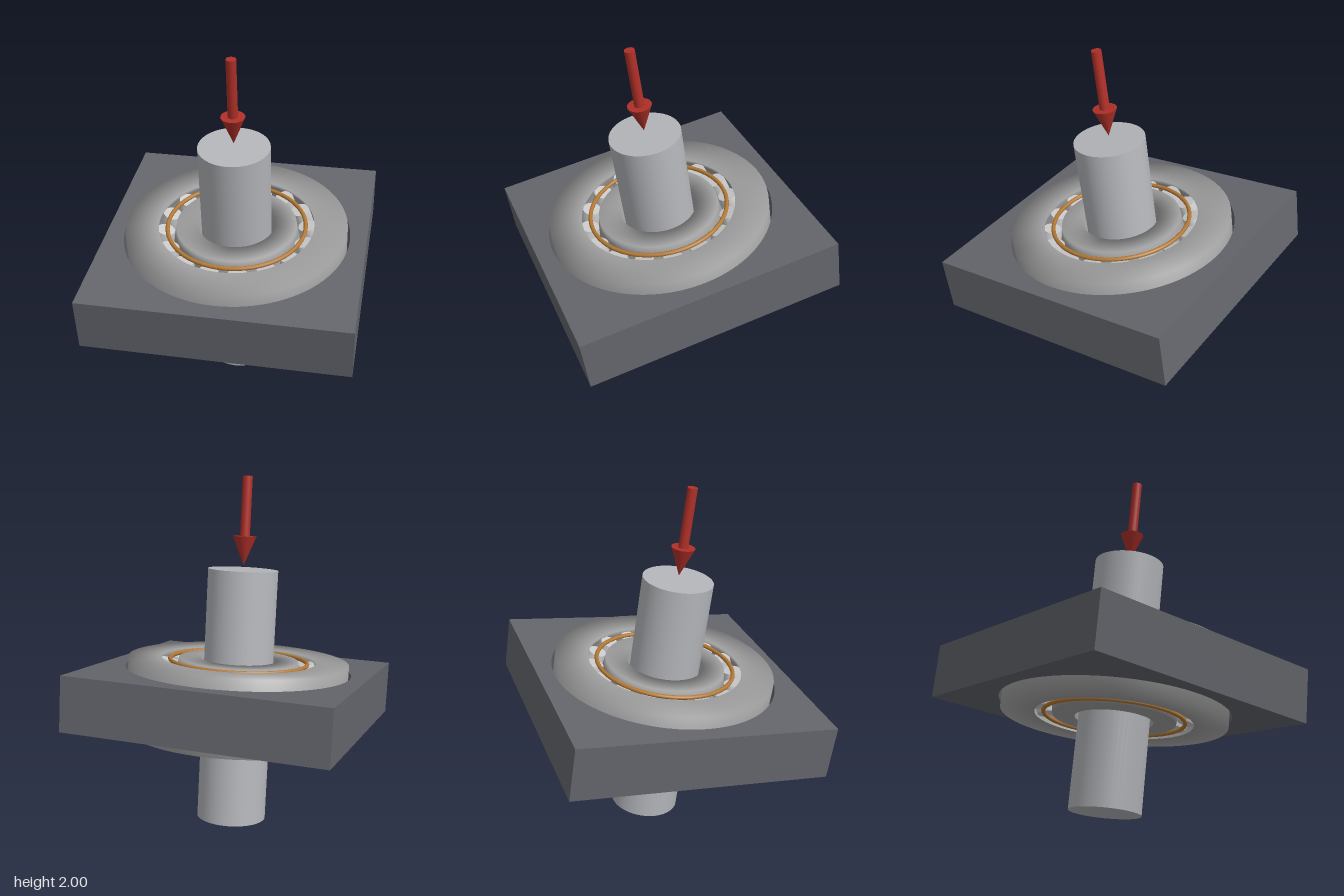
import * as THREE from 'three';

const TILT = 0.148;
const HALF = 0.2125; // half width of the bearing rings
const RACE = 0.493;  // radius of the spherical raceway

const mat = (color) => new THREE.MeshStandardMaterial({ color });
const steel = mat(0xcccccc);
const ringGrey = mat(0xa2a2a2);
const shaftGrey = mat(0xb4b6ba);
const housingGrey = mat(0x64666c);
const brass = mat(0xb57a35);
const red = mat(0xb03028);

function add(parent, name, geometry, material, y = 0) {
  const mesh = new THREE.Mesh(geometry, material);
  mesh.name = name;
  mesh.position.y = y;
  parent.add(mesh);
  return mesh;
}

function lathe(points, segments) {
  return new THREE.LatheGeometry(points.map(([r, y]) => new THREE.Vector2(r, y)), segments);
}

// Square block with a round bore
function housingGeometry() {
  const s = 0.745, depth = 0.31;
  const shape = new THREE.Shape();
  shape.moveTo(-s, -s).lineTo(s, -s).lineTo(s, s).lineTo(-s, s).closePath();
  const bore = new THREE.Path();
  bore.absarc(0, 0, 0.65, 0, Math.PI * 2, true);
  shape.holes.push(bore);
  const geo = new THREE.ExtrudeGeometry(shape, { depth, bevelEnabled: false, curveSegments: 48 });
  return geo.translate(0, 0, -depth / 2).rotateX(-Math.PI / 2);
}

// Ring with a spherical inner raceway
function outerRingGeometry() {
  const pts = [[0.445, -HALF], [0.635, -HALF], [0.635, HALF]];
  for (let i = 0; i <= 12; i++) {
    const y = HALF * (1 - i / 6);
    pts.push([Math.sqrt(RACE * RACE - y * y), y]);
  }
  return lathe(pts, 64);
}

// Ring with two hollow raceways and a centre rib
function innerRingGeometry() {
  return lathe([
    [0.22, -HALF], [0.345, -HALF], [0.352, -0.17], [0.366, -0.09], [0.384, -0.01],
    [0.384, 0.01], [0.366, 0.09], [0.352, 0.17], [0.345, HALF], [0.22, HALF], [0.22, -HALF],
  ], 64);
}

// Barrel roller; doubled points keep the end rims sharp
function rollerGeometry() {
  const h = 0.085, rMid = 0.06, rEnd = 0.0525;
  const pts = [[0, -h], [rEnd, -h]];
  for (let i = 0; i <= 8; i++) {
    const t = i / 4 - 1;
    pts.push([rMid - (rMid - rEnd) * t * t, h * t]);
  }
  pts.push([rEnd, h], [0, h]);
  return lathe(pts, 20);
}

export function createModel() {
  const model = new THREE.Group();
  model.name = 'bearingAssembly';

  // Everything leans forward about the bearing centre
  const tilted = new THREE.Group();
  tilted.name = 'tiltedAssembly';
  tilted.position.y = 0.755;
  tilted.rotation.x = TILT;
  model.add(tilted);

  add(tilted, 'housing', housingGeometry(), housingGrey);
  add(tilted, 'outerRing', outerRingGeometry(), ringGrey);
  add(tilted, 'innerRing', innerRingGeometry(), ringGrey);
  add(tilted, 'shaft', new THREE.CylinderGeometry(0.2, 0.2, 1.46, 48), shaftGrey);

  // Two rows of rollers, each with a cage ring
  const rollerGeo = rollerGeometry();
  const cageGeo = new THREE.TorusGeometry(0.396, 0.012, 10, 72).rotateX(Math.PI / 2);
  const count = 16;
  for (const side of [-1, 1]) {
    const row = new THREE.Group();
    row.name = side > 0 ? 'upperRollerRow' : 'lowerRollerRow';
    tilted.add(row);
    for (let i = 0; i < count; i++) {
      const spoke = new THREE.Group();
      spoke.name = 'rollerSpoke';
      spoke.rotation.y = ((i + 0.5) / count) * Math.PI * 2;
      row.add(spoke);
      const roller = add(spoke, 'roller', rollerGeo, steel, side * 0.1);
      roller.position.x = 0.425;
      roller.rotation.z = side * 0.23;
    }
    add(row, 'cageRing', cageGeo, brass, side * 0.202);
  }

  // Load arrow pressing on the shaft
  const arrow = new THREE.Group();
  arrow.name = 'loadArrow';
  tilted.add(arrow);
  add(arrow, 'arrowHead', new THREE.ConeGeometry(0.067, 0.165, 24).rotateX(Math.PI), red, 0.753 + 0.0825);
  add(arrow, 'arrowStem', new THREE.CylinderGeometry(0.028, 0.028, 0.34, 20), red, 1.085);

  return model;
}
